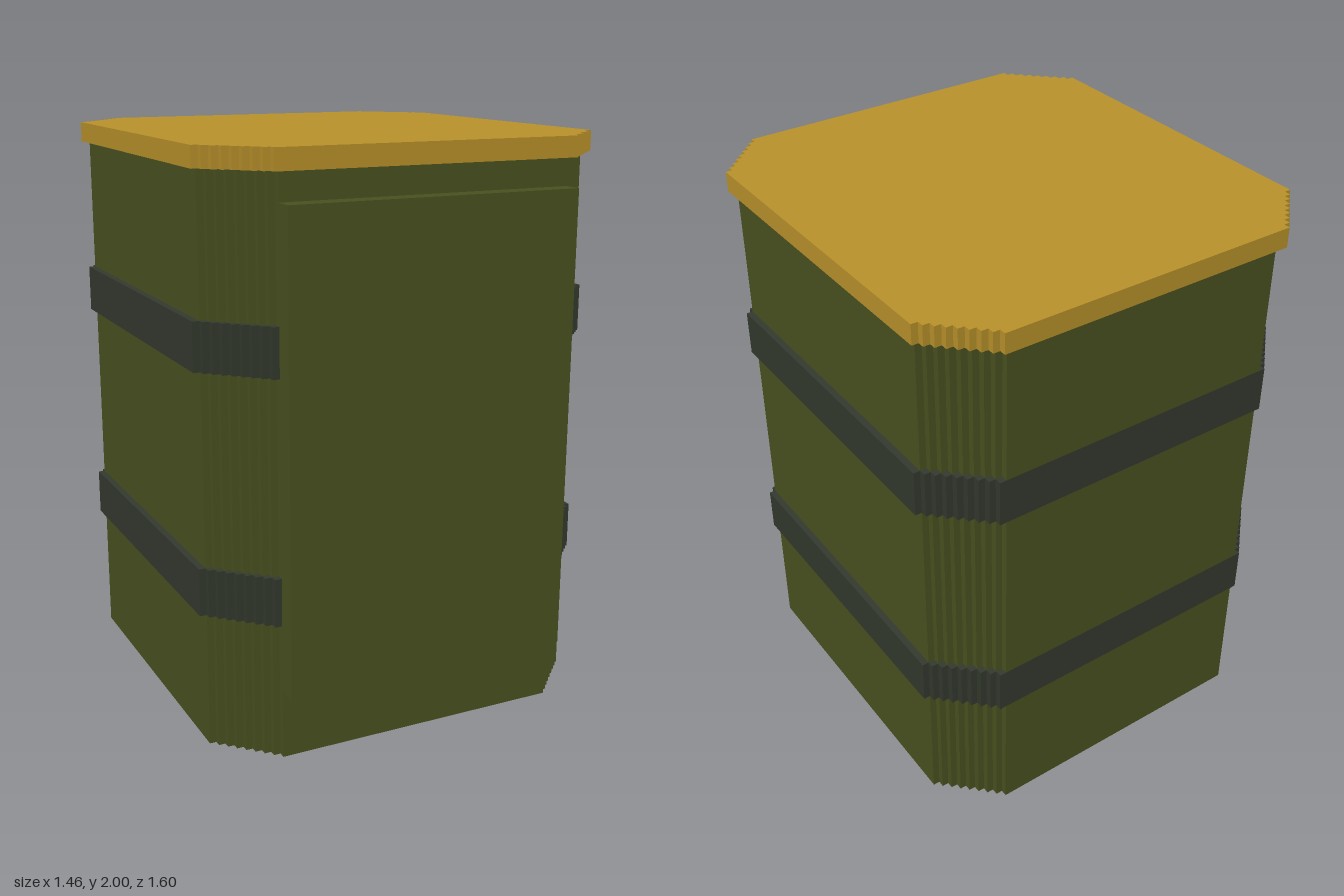
import * as THREE from 'three';

const U = 2 / 85; // grid unit: every dimension is a whole number of these
const STEPS = 8;  // stair steps on each corner

const paint = (name, color) => {
  const m = new THREE.MeshStandardMaterial({ color });
  m.name = name;
  return m;
};

// Rectangle with stair-stepped corners, extruded upward from y0 to y1
function steppedSlab(halfX, zBack, zFront, y0, y1) {
  const midZ = (zBack + zFront) / 2, halfZ = (zFront - zBack) / 2;
  // one corner, from the z edge out to the x edge
  const corner = [[halfX - STEPS, halfZ]];
  for (let i = 1; i <= STEPS; i++) {
    corner.push([halfX - STEPS + i - 1, halfZ - i], [halfX - STEPS + i, halfZ - i]);
  }
  const points = [];
  for (const [sx, sz] of [[1, 1], [1, -1], [-1, -1], [-1, 1]]) {
    const run = sx * sz > 0 ? corner : [...corner].reverse();
    for (const [x, z] of run) points.push(new THREE.Vector2(sx * x * U, -(midZ + sz * z) * U));
  }
  const geometry = new THREE.ExtrudeGeometry(new THREE.Shape(points), { depth: (y1 - y0) * U, bevelEnabled: false });
  geometry.rotateX(-Math.PI / 2);
  geometry.translate(0, y0 * U, 0);
  return geometry;
}

export function createModel() {
  const olive = paint('olive body', 0x4a5220);
  const slate = paint('dark strap', 0x343a2f);
  const amber = paint('amber lid', 0xbb932b);

  const model = new THREE.Group();
  model.name = 'container';
  const add = (name, geometry, material) => {
    const mesh = new THREE.Mesh(geometry, material);
    mesh.name = name;
    model.add(mesh);
  };

  // Body sections between the straps
  const sections = [['lowerBody', 0, 20], ['middleBody', 27, 55], ['upperBody', 62, 82]];
  for (const [name, y0, y1] of sections) add(name, steppedSlab(30, -33, 31, y0, y1), olive);

  // Straps stand one unit proud at the sides, flush at front and back
  for (const [name, y0] of [['lowerStrap', 20], ['upperStrap', 55]]) {
    add(name, steppedSlab(31, -33, 31, y0, y0 + 7), slate);
  }

  // Lid overhangs the body on every side
  add('lid', steppedSlab(31, -34, 32, 82, 85), amber);

  // Raised front panel
  const panel = new THREE.BoxGeometry(44 * U, 68 * U, 3 * U);
  panel.translate(0, 44 * U, 32.5 * U);
  add('frontPanel', panel, olive);

  return model;
}
